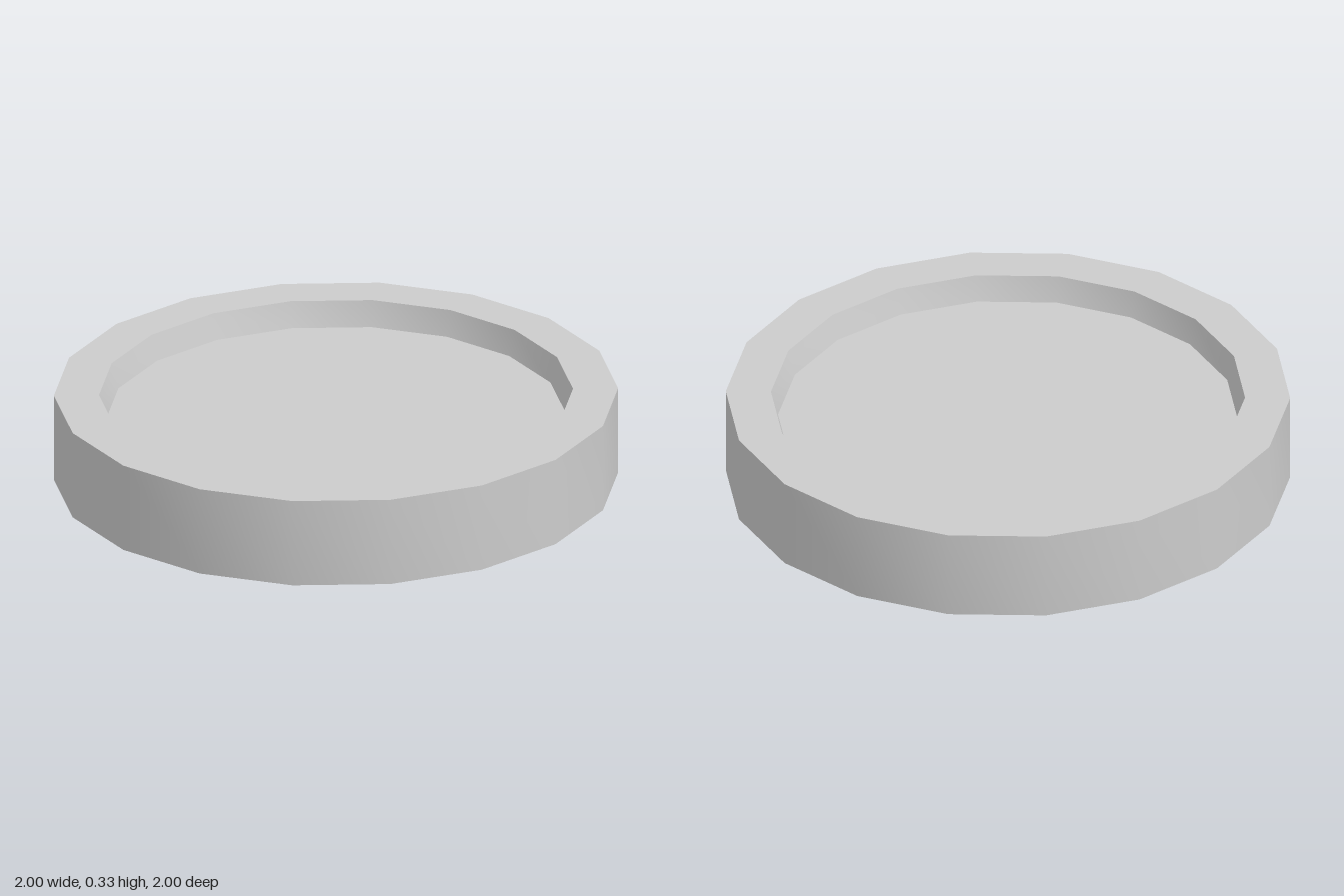
import * as THREE from 'three';
import { toCreasedNormals } from 'three/addons/utils/BufferGeometryUtils.js';

const SIDES = 18;
const HEIGHT = 0.326;
const STRETCH_X = 1 / Math.cos(Math.PI / SIDES); // flat sides reach x = +-1
const UPPER = { radius: 0.815, y: 0.232 }; // recessed face on top
const LOWER = { radius: 0.795, y: 0.086 }; // recessed face underneath

export function createModel() {
  const group = new THREE.Group();
  group.name = 'recessedDisc';
  const material = new THREE.MeshStandardMaterial({ color: 0xcccccc });

  const add = (name, geometry) => {
    geometry.scale(STRETCH_X, 1, 1);
    const mesh = new THREE.Mesh(toCreasedNormals(geometry, Math.PI / 6), material);
    mesh.name = name;
    group.add(mesh);
  };

  // Raised rim with sloping inner walls above and below
  const profile = [
    [LOWER.radius, LOWER.y], [0.815, 0], [1, 0],
    [1, HEIGHT], [0.84, HEIGHT], [UPPER.radius, UPPER.y],
  ].map(([r, y]) => new THREE.Vector2(r, y));
  add('rim', new THREE.LatheGeometry(profile, SIDES));

  // Flat faces inside the rim, corners lined up with the rim's
  const face = ({ radius, y }, direction) =>
    new THREE.CircleGeometry(radius, SIDES, Math.PI / 2)
      .rotateX(-direction * Math.PI / 2)
      .translate(0, y, 0);
  add('upperFace', face(UPPER, 1));
  add('lowerFace', face(LOWER, -1));

  return group;
}
